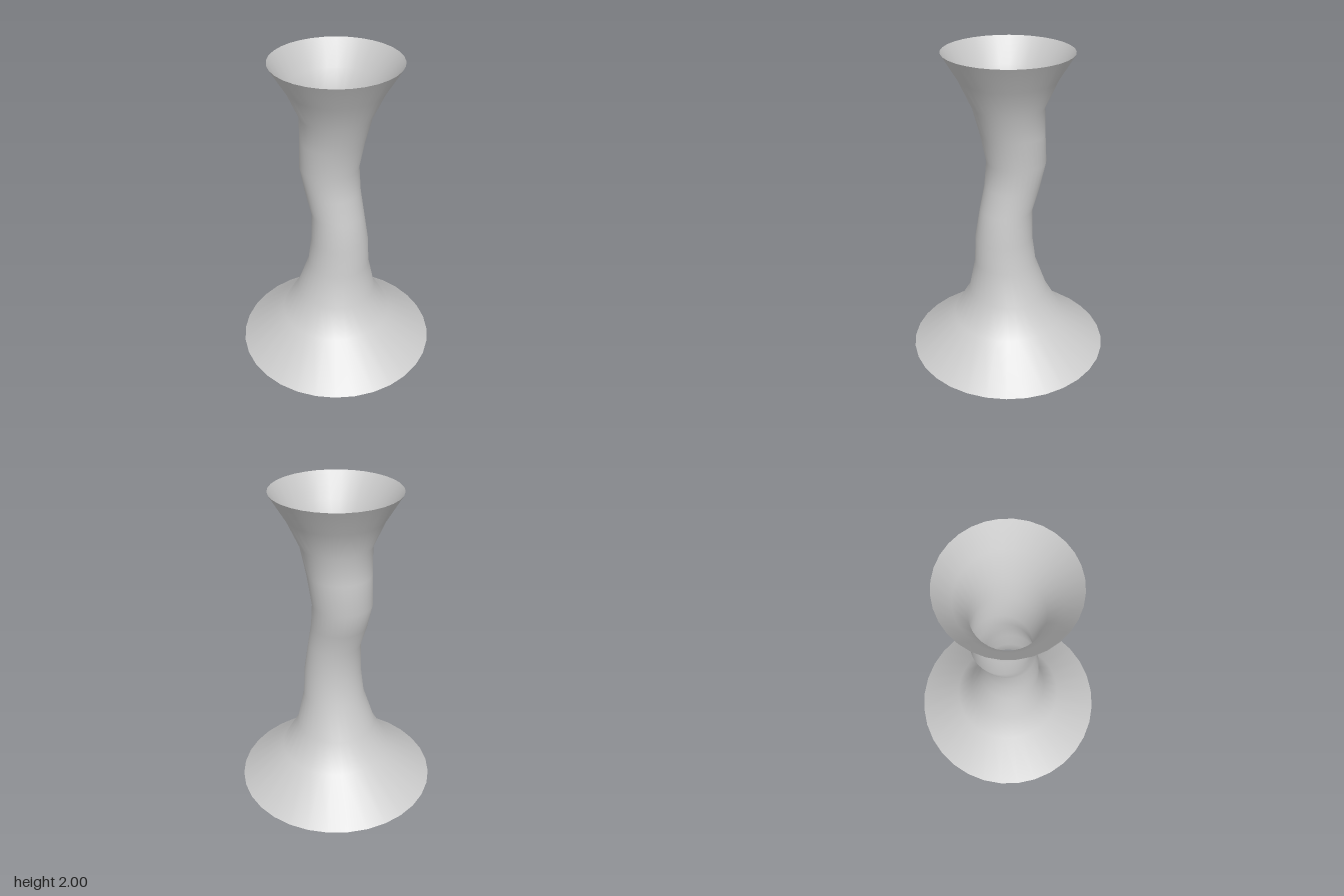
import * as THREE from 'three';
import { mergeVertices } from 'three/addons/utils/BufferGeometryUtils.js';

// Rings from bottom to top: height, radius, sideways shift of the centre
const RINGS = [
  [0, 0.643, 0], [0.225, 0.363, 0], [0.41, 0.258, 0], [0.63, 0.198, 0.022],
  [0.81, 0.183, 0.033], [1.0, 0.167, 0.015], [1.15, 0.175, -0.03],
  [1.31, 0.186, -0.06], [1.5, 0.199, -0.032], [1.67, 0.217, -0.002],
  [1.84, 0.294, 0], [2.0, 0.39, 0],
];
const SIDES = 32;

// Open flared tube whose waist sways along x
function swayingTube() {
  const profile = RINGS.map(([y, r]) => new THREE.Vector2(r, y));
  let geometry = new THREE.LatheGeometry(profile, SIDES);
  const position = geometry.attributes.position;
  for (let i = 0; i < position.count; i++) {
    const shift = RINGS[i % RINGS.length][2];
    position.setX(i, position.getX(i) + shift);
  }
  // Weld the seam so the shading is smooth all the way round
  geometry.deleteAttribute('uv');
  geometry.deleteAttribute('normal');
  geometry = mergeVertices(geometry, 1e-4);
  geometry.computeVertexNormals();
  return geometry;
}

export function createModel() {
  const group = new THREE.Group();
  group.name = 'flaredStand';
  const material = new THREE.MeshStandardMaterial({ color: 0xcccccc, side: THREE.DoubleSide });
  const body = new THREE.Mesh(swayingTube(), material);
  body.name = 'body';
  group.add(body);
  return group;
}
